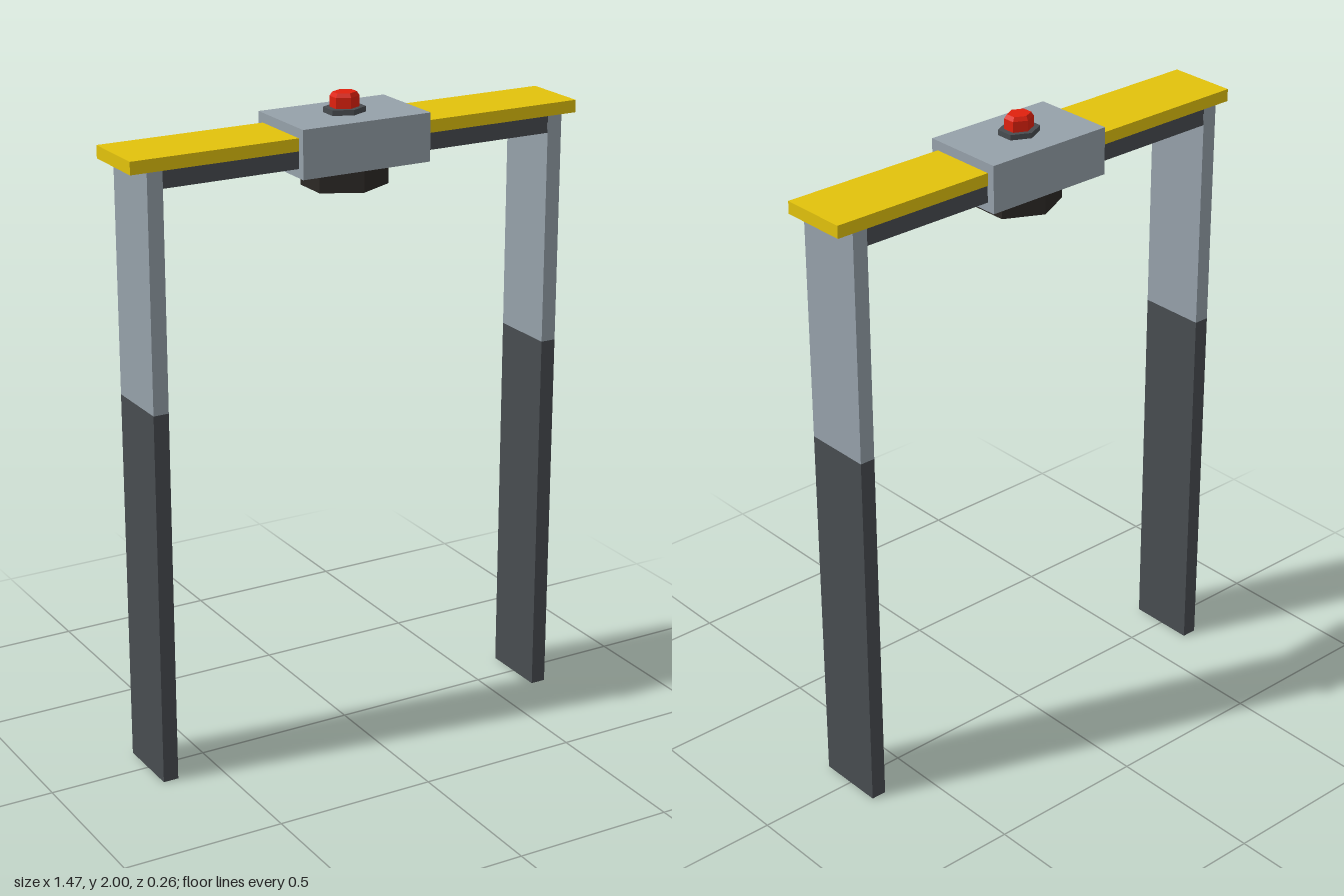
import * as THREE from 'three';

const paint = (color) => new THREE.MeshStandardMaterial({ color, flatShading: true });

export function createModel() {
  const model = new THREE.Group();
  const steel = paint(0x96a1aa), dark = paint(0x484c50), black = paint(0x2c2825);
  const yellow = paint(0xe2c20c), red = paint(0xe0210e);

  const add = (name, geometry, material) => {
    const mesh = new THREE.Mesh(geometry, material);
    mesh.name = name;
    model.add(mesh);
    return mesh;
  };

  // Box centred on z = 0, given by its x and y extents and depth
  const box = (name, x0, x1, y0, y1, depth, material) =>
    add(name, new THREE.BoxGeometry(x1 - x0, y1 - y0, depth), material)
      .position.set((x0 + x1) / 2, (y0 + y1) / 2, 0);

  // Hexagonal prism with points towards +-z, given by its half width and half depth
  const hex = (name, halfX, halfZ, y0, y1, material, topScale = 1) => {
    const mesh = add(name, new THREE.CylinderGeometry(topScale, 1, y1 - y0, 6), material);
    mesh.geometry.scale(halfX / Math.cos(Math.PI / 6), 1, halfZ);
    mesh.position.y = (y0 + y1) / 2;
  };

  // Legs: dark lower half, steel upper half
  for (const [side, s] of [['left', 1], ['right', -1]]) {
    const [x0, x1] = s > 0 ? [0.637, 0.685] : [-0.685, -0.637];
    box(side + 'LowerLeg', x0, x1, 0, 1.165, 0.215, dark);
    box(side + 'UpperLeg', x0, x1, 1.165, 1.873, 0.215, steel);
  }

  // Crossbar and its yellow cover plate
  box('crossbar', -0.637, 0.637, 1.822, 1.873, 0.213, dark);
  box('topPlate', -0.735, 0.735, 1.873, 1.911, 0.215, yellow);

  // Central housing with the lamp base below
  box('housing', -0.21, 0.21, 1.795, 1.94, 0.264, steel);
  hex('lowerHub', 0.115, 0.114, 1.726, 1.8, black);

  // Beacon: collar, body and chamfered cap
  hex('beaconCollar', 0.056, 0.054, 1.938, 1.956, dark);
  hex('beaconBody', 0.039, 0.038, 1.956, 1.988, red);
  hex('beaconCap', 0.039, 0.038, 1.988, 2, red, 0.82);

  return model;
}
